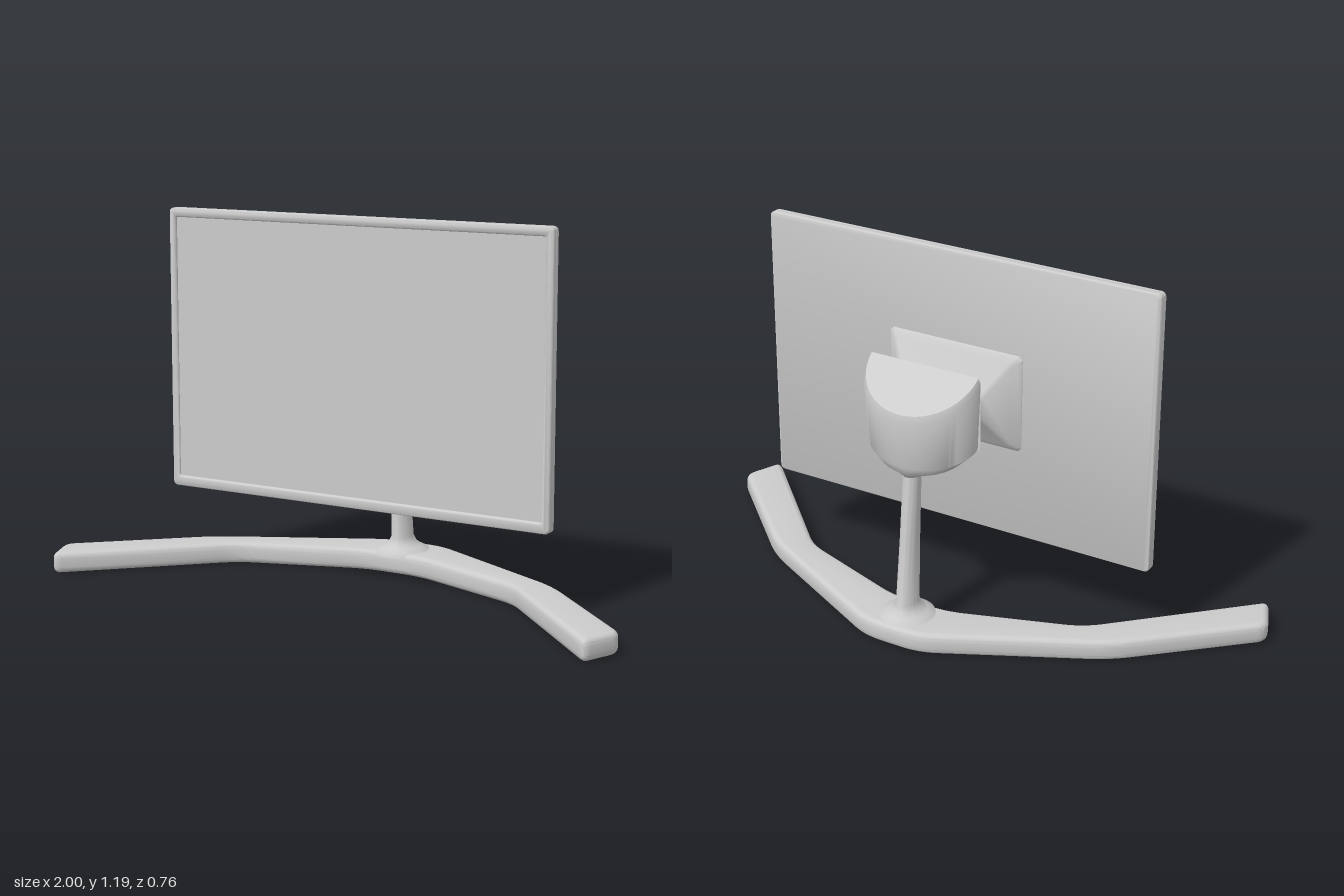
import * as THREE from 'three';
import { toCreasedNormals } from 'three/addons/utils/BufferGeometryUtils.js';

const grey = new THREE.MeshStandardMaterial({ color: 0xcccccc });

function part(name, geometry, crease = 0.6) {
  const mesh = new THREE.Mesh(toCreasedNormals(geometry, crease), grey);
  mesh.name = name;
  return mesh;
}

// Skin between closed rings of equal length, with fan caps at both ends.
// Rings run counter-clockwise as seen looking back from the last ring.
function loft(rings) {
  const n = rings[0].length, pos = [], idx = [];
  rings.forEach(r => r.forEach(p => pos.push(...p)));
  for (let j = 0; j < rings.length - 1; j++)
    for (let i = 0; i < n; i++) {
      const a = j * n + i, b = j * n + (i + 1) % n;
      idx.push(a, b, b + n, a, b + n, a + n);
    }
  const last = (rings.length - 1) * n;
  for (let i = 1; i < n - 1; i++)
    idx.push(0, i + 1, i, last, last + i, last + i + 1);
  const g = new THREE.BufferGeometry();
  g.setAttribute('position', new THREE.Float32BufferAttribute(pos, 3));
  g.setIndex(idx);
  return g;
}

// Closed outline whose corners are rounded; each point is [x, y, radius]
function roundedOutline(points, Type = THREE.Shape) {
  const path = new Type(), n = points.length;
  points.forEach(([x, y, r], i) => {
    const c = new THREE.Vector2(x, y);
    const toward = k => {
      const q = new THREE.Vector2(points[k][0], points[k][1]);
      return c.clone().add(q.sub(c).setLength(r));
    };
    const a = toward((i + n - 1) % n), b = toward((i + 1) % n);
    if (i === 0) path.moveTo(a.x, a.y); else path.lineTo(a.x, a.y);
    path.quadraticCurveTo(x, y, b.x, b.y);
  });
  path.closePath();
  return path;
}

const rect = (w, y0, y1, r) => [[-w, y0, r], [w, y0, r], [w, y1, r], [-w, y1, r]];

function extrude(shape, height, bevel) {
  return new THREE.ExtrudeGeometry(shape, {
    depth: height - 2 * bevel, bevelThickness: bevel, bevelSize: bevel,
    bevelOffset: -bevel, bevelSegments: 4, curveSegments: 6,
  }).translate(0, 0, bevel);
}

function makeBase() {
  // Right half from back to front: [x, z, corner radius]
  const half = [
    [0.1, -0.385, 0.06], [0.635, -0.115, 0.07], [1.01, 0.235, 0.035],
    [0.953, 0.375, 0.035], [0.51, -0.06, 0.06], [0.1, -0.2, 0.06],
  ];
  const right = half.map(([x, z, r]) => [x, -z, r]);
  const left = right.map(([x, y, r]) => [-x, y, r]).reverse();
  const g = extrude(roundedOutline([...right, ...left]), 0.07, 0.02);
  return part('base', g.rotateX(-Math.PI / 2), 0.5);
}

function makeNeck() {
  // [y, centre z, x radius, z radius]
  const sections = [
    [0.055, -0.28, 0.1, 0.095], [0.073, -0.28, 0.085, 0.09], [0.083, -0.28, 0.06, 0.07],
    [0.095, -0.28, 0.043, 0.055], [0.115, -0.28, 0.032, 0.048],
    [0.34, -0.262, 0.029, 0.038], [0.58, -0.244, 0.028, 0.03],
  ];
  const rings = sections.map(([y, zc, rx, rz]) => Array.from({ length: 32 }, (_, i) => {
    const t = i / 32 * Math.PI * 2;
    return [rx * Math.cos(t), y, zc - rz * Math.sin(t)];
  }));
  return part('neck', loft(rings), 1);
}

function makeHead() {
  // D-shaped rings, flat side forward: [half width, front z, depth, y at angle sine s]
  const topY = (z) => 0.885 + (z + 0.17) * 0.73;
  const levels = [
    [0.035, -0.205, 0.07, () => 0.545],
    [0.075, -0.17, 0.115, s => 0.59 - 0.032 * s],
    [0.15, -0.17, 0.127, s => 0.607 - 0.036 * s],
    [0.188, -0.17, 0.135, s => 0.645 - 0.05 * s],
    [0.197, -0.17, 0.152, (s, z) => topY(z) - 0.02],
    [0.19, -0.17, 0.147, (s, z) => topY(z)],
  ];
  const rings = levels.map(([w, z0, d, y]) => Array.from({ length: 33 }, (_, i) => {
    const t = i / 32 * Math.PI, s = Math.sin(t), z = z0 - d * s;
    return [w * Math.cos(t), y(s, z), z];
  }));
  return part('pivotHead', loft(rings), 0.7);
}

function makeMount() {
  // From head to screen: [z, half width, bottom y, top y, bottom half width, side corner y, top chamfer]
  const sections = [
    [-0.17, 0.197, 0.59, 0.885, 0.075, 0.645, 0.012],
    [-0.105, 0.148, 0.70, 0.785, 0.11, 0.71, 0.012],
    [-0.095, 0.14, 0.696, 0.772, 0.115, 0.705, 0.012],
    [-0.082, 0.14, 0.696, 0.77, 0.125, 0.704, 0.012],
    [-0.07, 0.15, 0.685, 0.78, 0.138, 0.695, 0.012],
    [-0.01, 0.212, 0.592, 0.872, 0.2, 0.604, 0.012],
    [0.002, 0.226, 0.58, 0.885, 0.214, 0.592, 0.012],
    [0.012, 0.238, 0.572, 0.893, 0.226, 0.584, 0.012],
    [0.03, 0.242, 0.565, 0.9, 0.23, 0.577, 0.012],
  ];
  const rings = sections.map(([z, w, y0, y1, wb, ys, c]) => [
    [w - c, y1, z], [c - w, y1, z], [-w, y1 - c, z], [-w, ys, z],
    [-wb, y0, z], [wb, y0, z], [w, ys, z], [w, y1 - c, z],
  ]);
  return part('screenMount', loft(rings), 0.7);
}

function makeScreen() {
  const screen = new THREE.Group();
  screen.name = 'screen';
  // Rear shell with softened edges
  const shell = part('screenShell', extrude(roundedOutline(rect(0.69, 0.27, 1.192, 0.018)), 0.028, 0.006));
  shell.position.z = 0.014;
  // Raised rim around the display
  const outline = roundedOutline(rect(0.69, 0.27, 1.192, 0.018));
  outline.holes.push(roundedOutline(rect(0.664, 0.305, 1.162, 0.005), THREE.Path));
  const rim = part('screenRim', extrude(outline, 0.026, 0.008));
  rim.position.z = 0.027;
  // Display panel set back inside the rim
  const panel = part('displayPanel', new THREE.BoxGeometry(1.34, 0.87, 0.01));
  panel.position.set(0, 0.733, 0.039);
  screen.add(shell, rim, panel);
  return screen;
}

export function createModel() {
  const model = new THREE.Group();
  model.name = 'monitor';
  const body = new THREE.Group();
  body.name = 'monitorBody';
  body.add(makeBase(), makeNeck(), makeHead(), makeMount(), makeScreen());
  // The whole display stands turned very slightly
  body.rotation.y = -0.017;
  model.add(body);
  return model;
}
